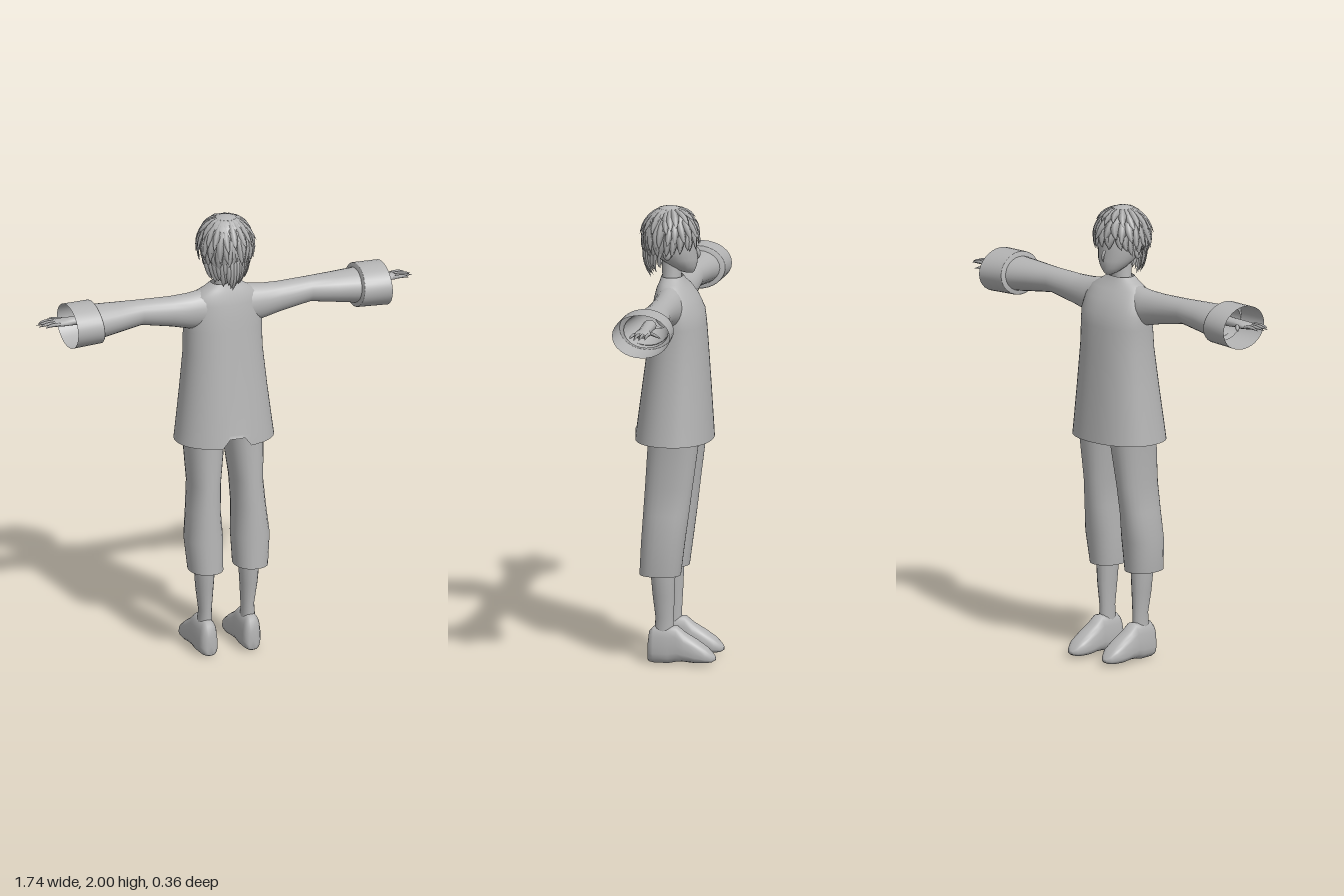
import * as THREE from 'three';

// Lofts superellipse rings [pos, a0, a1, b0, b1] along an axis; a and b are the two other axes in order.
function loft(axis, rings, { seg = 24, e = 2, capStart = false, capEnd = false } = {}) {
  const put = { x: (p, a, b) => [p, a, b], y: (p, a, b) => [a, p, b], z: (p, a, b) => [a, b, p] }[axis];
  const v = [], idx = [];
  const flip = (axis === 'y') !== (rings[1][0] > rings[0][0]);
  const tri = (a, b, c) => (flip ? idx.push(a, c, b) : idx.push(a, b, c));
  const pow = (t) => Math.sign(t) * Math.abs(t) ** (2 / e);
  for (const [p, a0, a1, b0, b1] of rings) {
    for (let j = 0; j < seg; j++) {
      const t = (j / seg) * Math.PI * 2;
      v.push(...put(p, (a0 + a1) / 2 + ((a1 - a0) / 2) * pow(Math.cos(t)),
        (b0 + b1) / 2 + ((b1 - b0) / 2) * pow(Math.sin(t))));
    }
  }
  for (let i = 0; i < rings.length - 1; i++) {
    for (let j = 0; j < seg; j++) {
      const a = i * seg + j, b = i * seg + ((j + 1) % seg);
      tri(a, a + seg, b);
      tri(b, a + seg, b + seg);
    }
  }
  const cap = (i, end) => {
    const [p, a0, a1, b0, b1] = rings[i];
    const c = v.length / 3;
    v.push(...put(p, (a0 + a1) / 2, (b0 + b1) / 2));
    for (let j = 0; j < seg; j++) {
      const a = i * seg + j, b = i * seg + ((j + 1) % seg);
      if (end) tri(a, c, b); else tri(b, c, a);
    }
  };
  if (capStart) cap(0, false);
  if (capEnd) cap(rings.length - 1, true);
  const g = new THREE.BufferGeometry();
  g.setAttribute('position', new THREE.Float32BufferAttribute(v, 3));
  g.setIndex(idx);
  g.computeVertexNormals();
  return g;
}

// Moves every vertex by a rule
function reshape(g, rule) {
  const p = g.attributes.position, v = new THREE.Vector3();
  for (let i = 0; i < p.count; i++) {
    rule(v.fromBufferAttribute(p, i));
    p.setXYZ(i, v.x, v.y, v.z);
  }
  g.computeVertexNormals();
  return g;
}

// Pointed strand with a diamond section, bent through three points
function strand(p0, p1, p2, width, thick, out) {
  const curve = new THREE.QuadraticBezierCurve3(p0, p1, p2);
  const v = [], idx = [], n = 5;
  for (let i = 0; i <= n; i++) {
    const t = i / n, c = curve.getPoint(t), tan = curve.getTangent(t);
    const side = new THREE.Vector3().crossVectors(tan, out).normalize();
    const up = new THREE.Vector3().crossVectors(side, tan).normalize();
    const w = 0.5 * (1 - t ** 2.2) * (0.75 + 0.5 * t);
    for (const [s, u] of [[1, 0], [0, 1], [-1, 0], [0, -1]]) {
      const q = c.clone().addScaledVector(side, s * w * width).addScaledVector(up, u * w * thick);
      v.push(q.x, q.y, q.z);
    }
  }
  for (let i = 0; i < n; i++) {
    for (let j = 0; j < 4; j++) {
      const a = i * 4 + j, b = i * 4 + ((j + 1) % 4);
      idx.push(a, b, a + 4, b, b + 4, a + 4);
    }
  }
  const g = new THREE.BufferGeometry();
  g.setAttribute('position', new THREE.Float32BufferAttribute(v, 3));
  g.setIndex(idx);
  g.computeVertexNormals();
  return g;
}

export function createModel() {
  const model = new THREE.Group();
  const grey = new THREE.MeshStandardMaterial({ color: 0xb4b4b4, side: THREE.DoubleSide });
  grey.name = 'plain grey';
  const V = (x, y, z) => new THREE.Vector3(x, y, z);
  const add = (name, g, parent = model) => {
    const m = new THREE.Mesh(g, grey);
    m.name = name;
    parent.add(m);
    return m;
  };
  let seed = 7;
  const rnd = () => (seed = (seed * 16807) % 2147483647) / 2147483647;

  // Long tunic with a small notch at the centre of the back hem
  const tunic = loft('y', [
    [0.975, -0.22, 0.22, -0.155, 0.18], [1.03, -0.213, 0.213, -0.152, 0.174],
    [1.2, -0.193, 0.193, -0.142, 0.152], [1.38, -0.175, 0.175, -0.13, 0.128],
    [1.48, -0.175, 0.175, -0.122, 0.116], [1.54, -0.175, 0.175, -0.114, 0.108],
    [1.6, -0.165, 0.165, -0.085, 0.098], [1.64, -0.145, 0.145, -0.055, 0.088],
    [1.665, -0.1, 0.1, -0.035, 0.078], [1.69, -0.062, 0.062, -0.022, 0.07],
  ], { seg: 48, e: 2.2 });
  add('tunic', reshape(tunic, (v) => {
    if (v.y < 1 && v.z > 0 && Math.abs(v.x) < 0.045) v.y = 1.015;
  }));

  for (const s of [1, -1]) {
    const tag = s > 0 ? 'left' : 'right';
    const span = (a, b) => (s > 0 ? [a, b] : [-b, -a]);
    const along = (rings) => rings.map(([x, ...r]) => [s * x, ...r]);
    const across = (rings) => rings.map(([p, a, b, ...r]) => [p, ...span(a, b), ...r]);

    // Sleeve and wide open cuff
    add(tag + 'Sleeve', loft('x', along([
      [0.07, 1.48, 1.665, -0.05, 0.085], [0.17, 1.495, 1.651, -0.045, 0.083],
      [0.25, 1.515, 1.648, -0.041, 0.078], [0.39, 1.542, 1.652, -0.04, 0.076],
      [0.5, 1.526, 1.656, -0.055, 0.098], [0.62, 1.508, 1.66, -0.075, 0.122],
    ])));
    const cuff = loft('x', along([
      [0.597, 1.515, 1.655, -0.07, 0.12], [0.6, 1.497, 1.678, -0.093, 0.142],
      [0.603, 1.494, 1.68, -0.095, 0.144], [0.728, 1.488, 1.677, -0.1, 0.152],
    ]), { seg: 32 });
    add(tag + 'Cuff', reshape(cuff, (v) => {
      if (Math.abs(v.x) < 0.65) v.x += s * (v.y - 1.585) * 0.12;
    }));

    // Hand with four fingers and a thumb
    const hand = new THREE.Group();
    hand.name = tag + 'Hand';
    model.add(hand);
    add('palm', loft('x', along([
      [0.58, 1.575, 1.625, -0.015, 0.045], [0.7, 1.582, 1.618, -0.01, 0.042],
      [0.74, 1.584, 1.616, -0.022, 0.05], [0.785, 1.589, 1.613, -0.018, 0.052],
    ]), { seg: 12, capEnd: true }), hand);
    [0.84, 0.865, 0.868, 0.85].forEach((tip, i) => {
      const z = 0.045 - i * 0.019;
      add('finger', strand(V(s * 0.77, 1.602, z), V(s * 0.82, 1.61, z * 1.1),
        V(s * tip, 1.597, z * 1.2), 0.02, 0.02, V(0, 1, 0)), hand);
    });
    add('thumb', strand(V(s * 0.725, 1.6, -0.01), V(s * 0.75, 1.6, -0.04),
      V(s * 0.785, 1.592, -0.072), 0.024, 0.02, V(0, 1, 0)), hand);

    // Cropped trouser leg, open at the bottom
    add(tag + 'TrouserLeg', loft('y', across([
      [0.39, 0.03, 0.177, -0.032, 0.148], [0.53, 0.025, 0.19, -0.05, 0.14],
      [0.66, 0.034, 0.175, -0.068, 0.132], [0.78, 0.03, 0.165, -0.083, 0.125],
      [0.95, 0.008, 0.175, -0.105, 0.115], [1.05, -0.005, 0.178, -0.11, 0.112],
    ]), { e: 2.2 }));

    // Shin and shoe
    add(tag + 'Shin', loft('y', across([
      [0.1, 0.068, 0.132, 0.0, 0.085], [0.2, 0.07, 0.126, 0.0, 0.08],
      [0.3, 0.064, 0.14, -0.005, 0.092], [0.39, 0.058, 0.147, -0.008, 0.1],
      [0.5, 0.055, 0.15, -0.01, 0.105],
    ]), { seg: 16 }));
    const shoe = loft('z', [
      [0.112, 0.08, 0.115, 0.008, 0.09], [0.105, 0.065, 0.132, 0.003, 0.14],
      [0.085, 0.058, 0.142, 0, 0.16], [0.02, 0.055, 0.146, 0, 0.162],
      [-0.015, 0.053, 0.149, 0.008, 0.165], [-0.05, 0.051, 0.15, 0.01, 0.135],
      [-0.1, 0.05, 0.15, 0.006, 0.106], [-0.145, 0.057, 0.144, 0.008, 0.075],
      [-0.17, 0.072, 0.13, 0.012, 0.05], [-0.184, 0.09, 0.11, 0.02, 0.034],
    ].map(([z, a, b, ...r]) => [z, ...span(a, b), ...r]), { seg: 20, e: 2.8, capStart: true, capEnd: true });
    add(tag + 'Shoe', reshape(shoe, (v) => {
      v.x = s * 0.1 + (v.x - s * 0.1) * (1.13 - 2 * v.y);
    }));
  }

  // Neck, head and nose
  add('neck', loft('y', [
    [1.64, -0.06, 0.06, -0.02, 0.075], [1.69, -0.044, 0.044, -0.015, 0.068], [1.79, -0.042, 0.042, -0.02, 0.07],
  ], { seg: 20 }));
  add('head', loft('y', [
    [1.706, -0.012, 0.012, -0.066, -0.03], [1.715, -0.03, 0.03, -0.074, -0.005],
    [1.738, -0.056, 0.056, -0.083, 0.035], [1.77, -0.078, 0.078, -0.087, 0.085],
    [1.81, -0.092, 0.092, -0.083, 0.12], [1.86, -0.099, 0.099, -0.084, 0.135],
    [1.91, -0.095, 0.095, -0.078, 0.13], [1.96, -0.06, 0.06, -0.035, 0.1],
  ], { capStart: true, capEnd: true }));
  add('nose', strand(V(0, 1.815, -0.08), V(0, 1.79, -0.098), V(0, 1.766, -0.088), 0.02, 0.022, V(0, 0, -1)));
  for (const s of [1, -1]) {
    const ear = add('ear', new THREE.SphereGeometry(0.03, 12, 8));
    ear.scale.set(0.4, 1, 0.65);
    ear.position.set(s * 0.094, 1.805, 0.03);
  }

  // Hair cap, cut higher over the face than at the back
  const hair = new THREE.Group();
  hair.name = 'hair';
  model.add(hair);
  const onHead = (a, th, k = 1) => V(0.119 * k * Math.sin(th) * Math.cos(a),
    1.868 + 0.128 * k * Math.cos(th), 0.035 + 0.12 * k * Math.sin(th) * Math.sin(a));
  const cap = new THREE.SphereGeometry(1, 40, 16);
  add('hairCap', reshape(cap, (v) => {
    const a = Math.atan2(v.z, v.x), t = Math.acos(THREE.MathUtils.clamp(v.y, -1, 1));
    v.copy(onHead(a, t * (0.58 + 0.17 * Math.sin(a))));
  }), hair);

  // Layered locks around the head: longer behind, short fringe in front
  for (const [count, start, end] of [[18, 0.12, 0.4], [24, 0.28, 0.56], [28, 0.38, 0.66]]) {
    for (let i = 0; i < count; i++) {
      const a = ((i + rnd() * 0.6) / count) * Math.PI * 2;
      const back = Math.sin(a), reach = Math.PI * (end + 0.08 * back + 0.05 * rnd());
      const th0 = Math.PI * start;
      add('lock', strand(onHead(a, th0, 0.97), onHead(a + 0.05, (th0 + reach) / 2, 1.11),
        onHead(a + (rnd() - 0.5) * 0.3, reach, 1.07 + 0.07 * rnd()), 0.046, 0.016,
        V(Math.cos(a), 0.3, Math.sin(a))), hair);
    }
  }

  // Nape locks falling to the collar
  for (let i = 0; i < 17; i++) {
    const u = (i / 16) * 2 - 1, near = 1 - u * u;
    const tip = 1.66 + 0.05 * Math.abs(u) + 0.03 * rnd();
    add('napeLock', strand(V(u * 0.105, 1.83, 0.06 + 0.08 * near), V(u * 0.088, 1.75, 0.075 + 0.085 * near),
      V(u * 0.075, tip, 0.06 + 0.05 * near + 0.015 * rnd()), 0.04, 0.018, V(u * 0.8, 0, 1)), hair);
  }
  return model;
}
